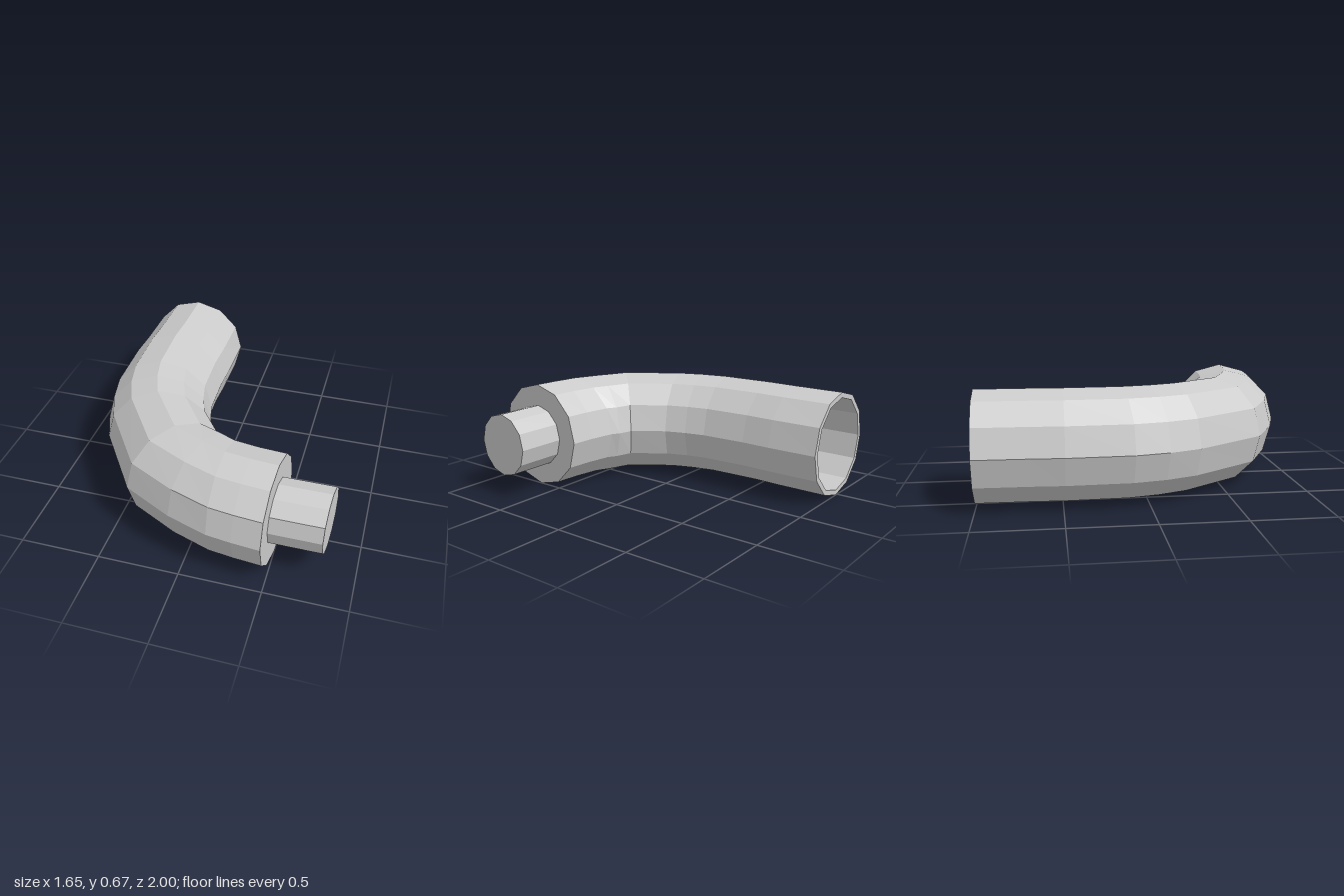
import * as THREE from 'three';

const SIDES = 12, RADIUS = 0.336, BORE = 0.9;
const material = new THREE.MeshStandardMaterial({ color: 0xcccccc, flatShading: true });

// Cross-sections along the bend: [outer x, outer z, inner x, inner z]
const bend = [
  [-0.81, -1, -0.15, -1],
  [-0.815, -0.68, -0.15, -0.68],
  [-0.825, -0.49, -0.157, -0.49],
  [-0.813, -0.1, -0.145, -0.2],
  [-0.77, 0.1, -0.115, -0.07],
  [-0.695, 0.29, -0.07, 0.06],
  [-0.40, 0.72, 0.065, 0.245],
  [-0.09, 0.88, 0.155, 0.265],
  [0.16, 0.965, 0.20, 0.295],
  [0.31, 0.985, 0.36, 0.32],
  [0.48, 1.0, 0.52, 0.33],
];

// A round section spanning the outer and inner points, scaled about its centre
function section([ox, oz, ix, iz], scale = 1) {
  return { cx: (ox + ix) / 2, cz: (oz + iz) / 2, hx: (ox - ix) / 2 * scale, hz: (oz - iz) / 2 * scale, r: RADIUS * scale };
}

// Skin a list of sections with flat facets
function loft(name, sections) {
  const positions = [], index = [];
  for (const s of sections) {
    for (let j = 0; j < SIDES; j++) {
      const a = j / SIDES * Math.PI * 2, c = Math.cos(a);
      positions.push(s.cx + s.hx * c, RADIUS + s.r * Math.sin(a), s.cz + s.hz * c);
    }
  }
  for (let i = 0; i < sections.length - 1; i++) {
    for (let j = 0; j < SIDES; j++) {
      const k = (j + 1) % SIDES;
      const a = i * SIDES + j, b = i * SIDES + k, c = a + SIDES, d = b + SIDES;
      if (sections[i].r > 0) index.push(a, c, b);
      if (sections[i + 1].r > 0) index.push(b, c, d);
    }
  }
  const geometry = new THREE.BufferGeometry();
  geometry.setAttribute('position', new THREE.Float32BufferAttribute(positions, 3));
  geometry.setIndex(index);
  geometry.computeVertexNormals();
  const mesh = new THREE.Mesh(geometry, material);
  mesh.name = name;
  return mesh;
}

export function createModel() {
  const group = new THREE.Group();
  group.name = 'bentPipe';

  const end = bend[bend.length - 1];
  const boreRows = bend.slice(0, -1).reverse();
  const plugScale = 0.59;
  const plugStart = section(end, plugScale);
  const plugEnd = { ...plugStart, cx: plugStart.cx + 0.312 };
  const plugTip = { ...plugEnd, hx: 0, hz: 0, r: 0 };

  // Outer wall of the bent pipe
  group.add(loft('pipeWall', bend.map((row) => section(row))));
  // Hollow inside, closed near the plug
  group.add(loft('bore', [section(boreRows[0], 0), ...boreRows.map((row) => section(row, BORE))]));
  // Flat lip at the open end
  group.add(loft('openRim', [section(bend[0], BORE), section(bend[0])]));
  // Step down to the narrow end
  group.add(loft('shoulder', [section(end), plugStart]));
  // Narrow closed plug
  group.add(loft('plug', [plugStart, plugEnd, plugTip]));

  return group;
}
